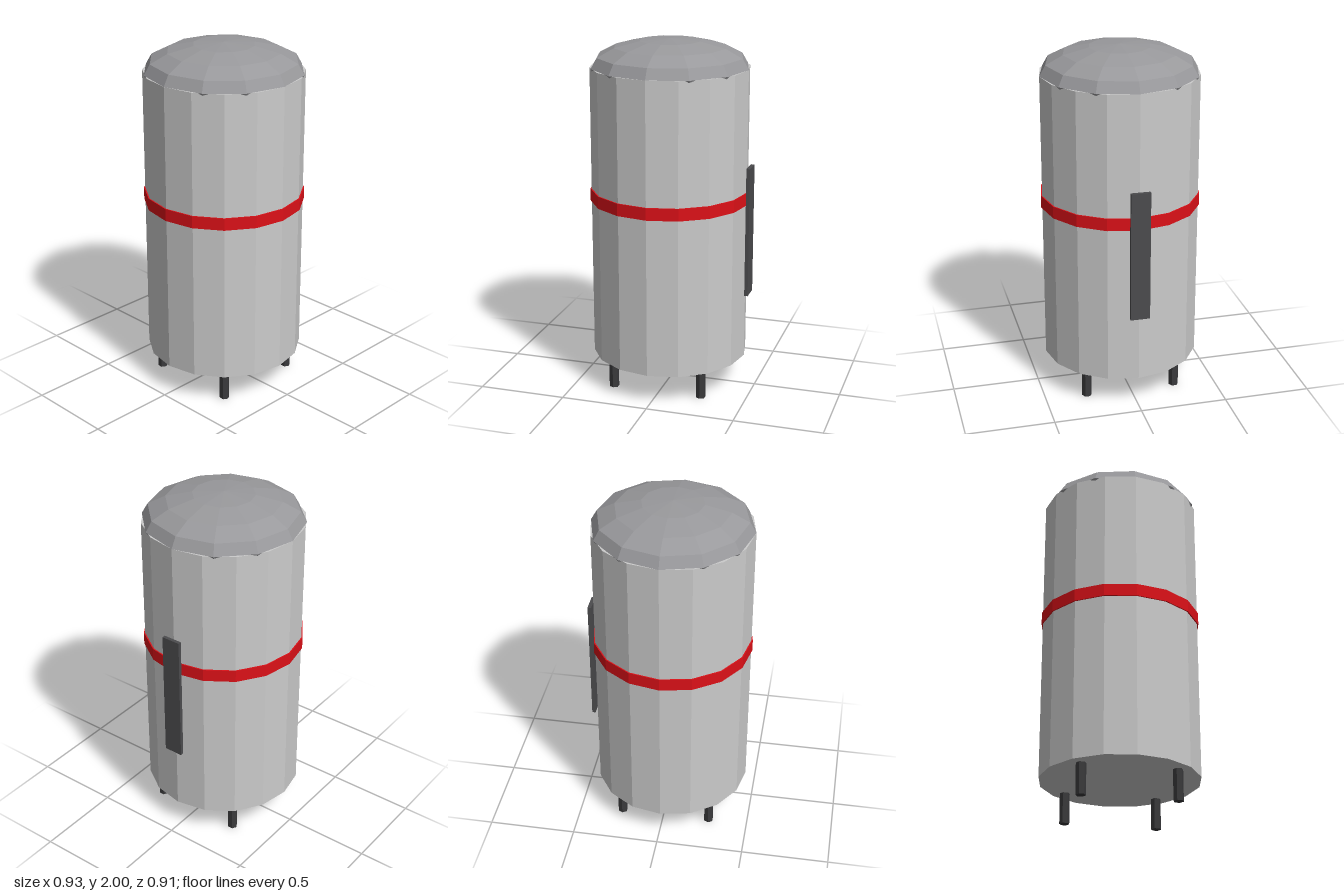
import * as THREE from 'three';

const paint = (color) => new THREE.MeshStandardMaterial({ color, flatShading: true });

export function createModel() {
  const tank = new THREE.Group();
  tank.name = 'storageTank';
  const cx = -0.012; // tank axis; the side plate balances the width

  const steel = paint(0xcccccf);
  const domeGrey = paint(0x99999c);
  const dark = paint(0x3a3a3c);
  const plateGrey = paint(0x4c4c4e);
  const red = paint(0xdd1118);

  const add = (name, geometry, material, x, y, z) => {
    const mesh = new THREE.Mesh(geometry, material);
    mesh.name = name;
    mesh.position.set(x, y, z);
    tank.add(mesh);
    return mesh;
  };

  // Sixteen-sided shell
  add('body', new THREE.CylinderGeometry(0.446, 0.446, 1.67, 16), steel, cx, 1.01, 0);

  // Flattened twelve-sided ball, its lower half sunk into the shell
  const dome = new THREE.SphereGeometry(0.446, 12, 8);
  dome.scale(1, 0.155 / 0.446, 1);
  add('dome', dome, domeGrey, cx, 1.845, 0);

  // Painted stripe
  add('band', new THREE.CylinderGeometry(0.453, 0.453, 0.07, 16), red, cx, 1.12, 0);

  // Level gauge on the left side
  add('gaugePlate', new THREE.BoxGeometry(0.02, 0.745, 0.11), plateGrey, 0.453, 0.933, 0);

  // Four hexagonal legs
  const leg = new THREE.CylinderGeometry(0.028, 0.028, 0.18, 6);
  for (const sx of [-1, 1]) {
    for (const sz of [-1, 1]) {
      add(`${sz > 0 ? 'front' : 'back'}${sx > 0 ? 'Left' : 'Right'}Leg`,
        leg, dark, cx + sx * 0.26, 0.09, sz * 0.26);
    }
  }

  return tank;
}
